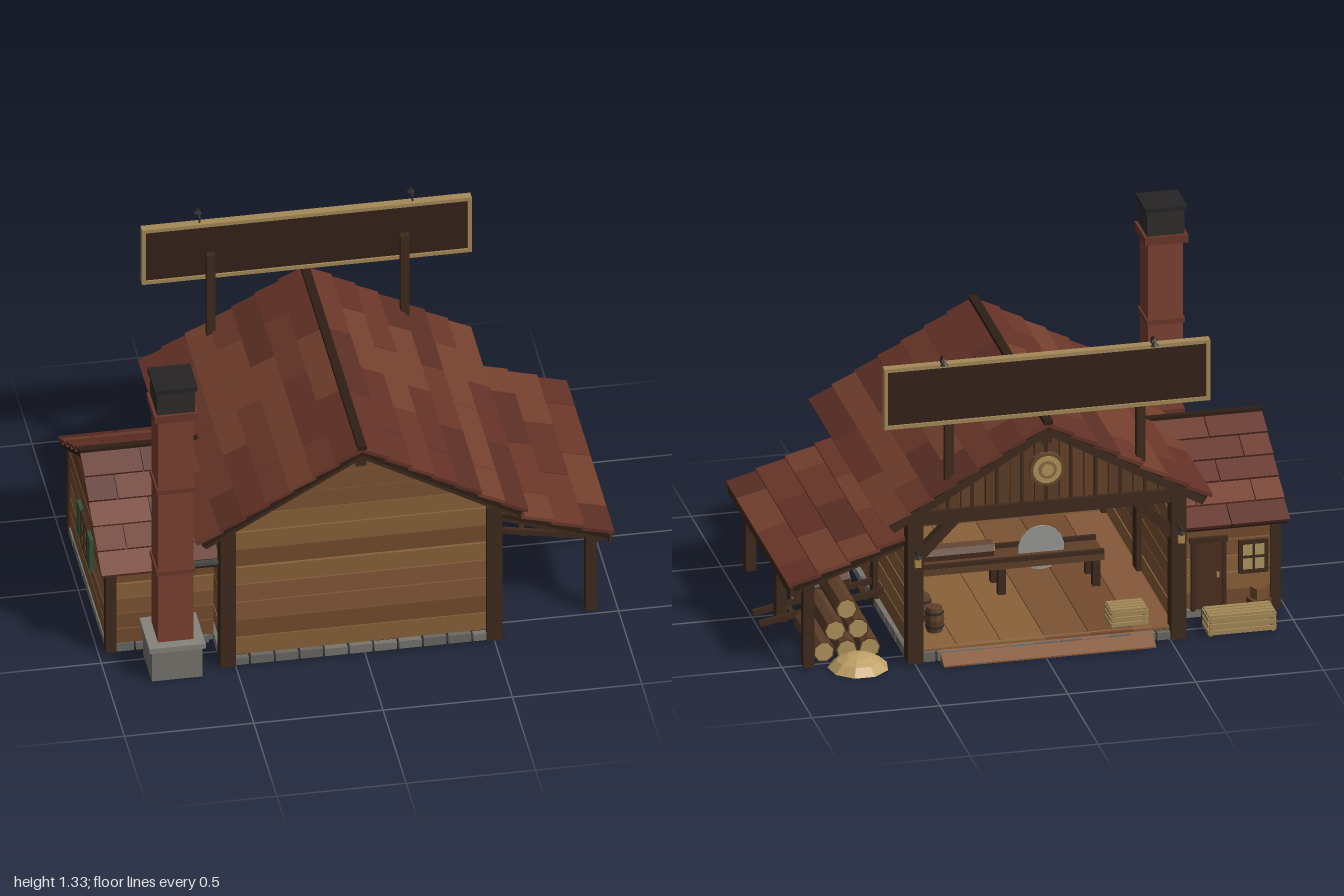
import * as THREE from 'three';

const WOOD = 0x3f2a1c, DARK = 0x2e1f16, TAN = 0xa58a58, BLACK = 0x302d2c, STONE = 0x77756e, BRICK = 0x7d4232;
const ROOF = [0x6b3729, 0x5c2f25, 0x75402e, 0x643227];
const PLANK = [0x7d5433, 0x85593a, 0x744c2e, 0x8a6239];
const CX = -0.015; // centre line of the main hall

const cache = {};
const mat = (color) => (cache[color] ??= new THREE.MeshStandardMaterial({ color, flatShading: true }));
let seed = 7;
const rnd = () => (seed = (seed * 16807) % 2147483647) / 2147483647;
const pick = (list) => list[Math.floor(rnd() * list.length)];

function add(parent, name, geo, color, x = 0, y = 0, z = 0) {
  const m = new THREE.Mesh(geo, mat(color));
  m.name = name;
  m.position.set(x, y, z);
  parent.add(m);
  return m;
}
const box = (p, name, c, w, h, d, x, y, z) => add(p, name, new THREE.BoxGeometry(w, h, d), c, x, y, z);
// box given by its limits
const span = (p, name, c, x0, x1, y0, y1, z0, z1) =>
  box(p, name, c, x1 - x0, y1 - y0, z1 - z0, (x0 + x1) / 2, (y0 + y1) / 2, (z0 + z1) / 2);
const cyl = (p, name, c, r0, r1, h, n, x, y, z) => add(p, name, new THREE.CylinderGeometry(r0, r1, h, n), c, x, y, z);
function group(parent, name, x = 0, y = 0, z = 0) {
  const g = new THREE.Group();
  g.name = name;
  g.position.set(x, y, z);
  parent.add(g);
  return g;
}
// square beam between two points
function beam(p, name, c, a, b, t, u = t) {
  const A = new THREE.Vector3(...a), B = new THREE.Vector3(...b);
  const m = box(p, name, c, t, u, A.distanceTo(B), 0, 0, 0);
  m.position.copy(A).add(B).multiplyScalar(0.5);
  m.lookAt(B);
  return m;
}

// roof slope falling along local +x from the ridge, with overlapping shingles
function slope(parent, name, run, drop, width, rows, tile) {
  const g = group(parent, name), len = Math.hypot(run, drop), step = len / rows;
  g.rotation.z = -Math.atan2(drop, run);
  span(g, 'roofBoards', DARK, 0, len - 0.01, -0.018, 0.002, -width / 2 + 0.008, width / 2 - 0.008);
  for (let r = 0; r < rows; r++) {
    for (let z = -width / 2 - (r % 2 ? tile / 2 : 0); z < width / 2 - 0.01; z += tile) {
      const a = Math.max(z, -width / 2), b = Math.min(z + tile, width / 2);
      const s = box(g, 'shingle', pick(ROOF), step * 1.08, 0.014, b - a - 0.004, (r + 0.5) * step, 0.01, (a + b) / 2);
      s.rotation.z = 0.09;
    }
  }
  return g;
}

// horizontal planks with narrow gaps, running along local x
function plankWall(parent, name, width, y0, y1, rows) {
  const g = group(parent, name), h = (y1 - y0) / rows;
  for (let i = 0; i < rows; i++)
    box(g, 'plank', pick(PLANK), width, h - 0.004 - rnd() * 0.003, 0.018 + rnd() * 0.006, 0, y0 + (i + 0.5) * h, 0);
  return g;
}

// triangular gable cut into boards, flat or upright
function gable(parent, name, half, h, n, upright, colors) {
  const g = group(parent, name);
  for (let i = 0; i < n; i++) {
    let pts;
    if (upright) {
      const a = -half + (i * 2 * half) / n, b = a + (2 * half) / n - 0.006;
      const top = (x) => Math.max(0, h * (1 - Math.abs(x) / half));
      pts = [[a, 0], [b, 0], [b, top(b)]];
      if (a < 0 && b > 0) pts.push([0, h]);
      pts.push([a, top(a)]);
    } else {
      const a = (i * h) / n, b = a + h / n - 0.002, w = (y) => half * (1 - y / h);
      pts = [[-w(a), a], [w(a), a], [w(b), b], [-w(b), b]];
    }
    const s = new THREE.Shape(pts.map((q) => new THREE.Vector2(...q)));
    add(g, 'gableBoard', new THREE.ExtrudeGeometry(s, { depth: 0.02, bevelEnabled: false }), pick(colors), 0, 0, -0.01);
  }
  return g;
}

// dark slab edged with stone blocks
function foundation(parent, x0, x1, z0, z1) {
  const g = group(parent, 'foundation');
  span(g, 'slab', BLACK, x0 + 0.01, x1 - 0.01, 0, 0.042, z0 + 0.01, z1 - 0.01);
  const row = (a, b, put) => {
    const n = Math.round((b - a) / 0.1), s = (b - a) / n;
    for (let i = 0; i < n; i++) put(a + (i + 0.5) * s, s - 0.008, 0.03 + rnd() * 0.008);
  };
  for (const z of [z0, z1]) row(x0, x1, (c, w, h) => box(g, 'stone', pick([STONE, 0x696863]), w, h, 0.03, c, h / 2 + 0.004, z));
  for (const x of [x0, x1]) row(z0, z1, (c, w, h) => box(g, 'stone', pick([STONE, 0x696863]), 0.03, h, w, x, h / 2 + 0.004, c));
}

// window facing local +z
function windowFrame(parent, w, h, shutters) {
  const g = group(parent, 'window');
  box(g, 'glass', 0xb09a63, w, h, 0.01, 0, 0, 0);
  for (const s of [-1, 0, 1]) {
    const t = s ? 0.014 : 0.008;
    box(g, 'frameBar', WOOD, t, h + 0.014, 0.022, (s * w) / 2, 0, 0.002);
    box(g, 'frameBar', WOOD, w + 0.014, t, 0.022, 0, (s * h) / 2, 0.002);
    if (s && shutters) box(g, 'shutter', 0x35523c, 0.065, h + 0.02, 0.015, s * (w / 2 + 0.042), 0, 0.006);
  }
  return g;
}

function slatCrate(parent, name, w, h, d, x, y, z) {
  const g = group(parent, name, x, y, z);
  box(g, 'crateBottom', 0x8a7146, w, 0.01, d, 0, 0.012, 0);
  for (let i = 0; i < 3; i++) {
    const yy = h * (0.2 + i * 0.32);
    for (const s of [-1, 1]) {
      box(g, 'slat', TAN, w, h * 0.22, 0.008, 0, yy, (s * d) / 2);
      box(g, 'slat', TAN, 0.008, h * 0.22, d, (s * w) / 2, yy, 0);
    }
  }
  for (let i = 0; i < 4; i++) box(g, 'lidSlat', TAN, w, 0.008, d * 0.19, 0, h, d * (i / 4 - 0.375));
  for (const sx of [-1, 1]) for (const sz of [-1, 1]) box(g, 'cornerPost', 0x8a7146, 0.012, h, 0.012, sx * (w / 2 - 0.008), h / 2, sz * (d / 2 - 0.008));
}

function barrel(parent, x, y, z, r, h) {
  const g = group(parent, 'barrel', x, y, z);
  const pts = [[0, 0], [0.8, 0], [1, 0.5], [0.8, 1], [0, 1]].map(([a, b]) => new THREE.Vector2(a * r, b * h));
  add(g, 'staves', new THREE.LatheGeometry(pts, 10), 0x5f4029);
  for (const k of [0.22, 0.78]) cyl(g, 'hoop', BLACK, r * 0.95, r * 0.95, 0.01, 10, 0, h * k, 0);
}

// log lying along local z, with pale cut ends
function log(parent, r, len, x, y, z) {
  const g = group(parent, 'log', x, y, z);
  cyl(g, 'bark', 0x5b3d28, r, r, len, 8, 0, 0, 0).rotation.x = Math.PI / 2;
  cyl(g, 'cutEnds', 0xb3945e, r * 0.86, r * 0.86, len + 0.006, 8, 0, 0, 0).rotation.x = Math.PI / 2;
  return g;
}

function buildHall(root) {
  const g = group(root, 'mainHall');
  foundation(g, -0.54, 0.51, -0.57, 0.595);
  for (let i = 0; i < 6; i++) span(g, 'floorBoard', pick(PLANK), -0.53 + i * 0.172, -0.361 + i * 0.172, 0.04, 0.05, -0.57, 0.58);
  // entrance ramp
  const wedge = new THREE.Shape([[0.55, 0], [0.645, 0], [0.645, 0.006], [0.55, 0.052]].map((q) => new THREE.Vector2(...q)));
  const ramp = add(g, 'entranceRamp', new THREE.ExtrudeGeometry(wedge, { depth: 0.83, bevelEnabled: false }), PLANK[1], -0.43, 0, 0);
  ramp.rotation.y = Math.PI / 2;
  for (const s of [-1, 1]) {
    const x = CX + s * 0.515;
    for (const z of [0.587, 0.01, -0.565]) box(g, 'post', WOOD, 0.06, 0.61, 0.064, x, 0.31, z);
    const side = plankWall(g, 'sideWall', 1.13, 0.045, 0.57, 7);
    side.position.set(x, 0, 0.01);
    side.rotation.y = Math.PI / 2;
    box(g, 'wallPlate', WOOD, 0.05, 0.05, 1.2, x, 0.59, 0.01);
    // corner braces, lanterns
    beam(g, 'brace', WOOD, [x, 0.42, -0.565], [x - s * 0.16, 0.585, -0.565], 0.04);
    box(g, 'lanternArm', BLACK, 0.01, 0.01, 0.05, x, 0.475, -0.615);
    box(g, 'lantern', 0xb08a48, 0.024, 0.036, 0.024, x, 0.44, -0.632);
    cyl(g, 'lanternCap', BLACK, 0.004, 0.022, 0.014, 4, x, 0.464, -0.632);
    const roof = slope(group(g, 'roofSide', CX, 0.945, 0.008), 'roofSlope', 0.63, 0.36, 1.256, 7, 0.4187);
    if (s < 0) roof.parent.rotation.y = Math.PI;
    for (const z of [-0.605, 0.615]) beam(g, 'rakeTrim', WOOD, [CX, 0.925, z], [CX + s * 0.61, 0.575, z], 0.02, 0.03);
  }
  plankWall(g, 'frontWall', 1.0, 0.045, 0.61, 7).position.set(CX, 0, 0.59);
  gable(g, 'frontGable', 0.53, 0.31, 4, false, PLANK).position.set(CX, 0.612, 0.59);
  gable(g, 'backGable', 0.53, 0.31, 11, true, [0x5c3d27, 0x664329]).position.set(CX, 0.612, -0.565);
  for (let i = -4; i <= 4; i++) {
    const h = 0.31 * (1 - Math.abs(i) * 0.182);
    box(g, 'batten', WOOD, 0.012, h, 0.012, CX + i * 0.0964, 0.612 + h / 2 - 0.004, -0.578);
  }
  for (const z of [-0.565, 0.01]) box(g, 'tieBeam', WOOD, 1.06, 0.055, 0.055, CX, 0.6, z);
  box(g, 'ridgeBeam', WOOD, 0.04, 0.05, 1.2, CX, 0.89, 0.01);
  box(g, 'ridgeCap', DARK, 0.034, 0.016, 1.256, CX, 0.962, 0.008);
  // log slice ornament
  [[0.068, 0x6a4a2d], [0.056, 0xb3945e], [0.036, 0x8a6a40], [0.024, 0xb3945e]].forEach(([r, c], i) =>
    (cyl(g, 'logSlice', c, r, r, 0.02, 16, CX, 0.76, -0.587 - i * 0.003).rotation.x = Math.PI / 2));
  // saw bench and goods
  const b = group(g, 'sawBench', 0, 0, -0.05);
  box(b, 'benchTop', 0x5f4029, 0.8, 0.025, 0.16, 0.05, 0.17, 0);
  for (const x of [-0.32, 0.05, 0.42]) for (const z of [-0.06, 0.06]) box(b, 'benchLeg', WOOD, 0.03, 0.12, 0.03, x, 0.105, z);
  for (const z of [-0.07, 0.07]) box(b, 'benchRail', WOOD, 0.8, 0.02, 0.015, 0.05, 0.19, z);
  cyl(b, 'sawBlade', 0x9a9a98, 0.09, 0.09, 0.008, 18, -0.12, 0.2, 0).rotation.x = Math.PI / 2;
  log(b, 0.035, 0.3, 0.22, 0.217, 0).rotation.y = Math.PI / 2;
  barrel(g, 0.38, 0.05, -0.4, 0.038, 0.1);
  barrel(g, 0.4, 0.05, -0.28, 0.038, 0.1);
  slatCrate(g, 'hallCrate', 0.14, 0.07, 0.1, -0.35, 0.05, -0.49);
}

function buildSign(root) {
  const g = group(root, 'signBoard', CX, 1.11, -0.581);
  box(g, 'panel', 0x35231a, 1.26, 0.24, 0.02, 0, 0, 0);
  for (const s of [-1, 1]) {
    box(g, 'frameRail', TAN, 1.275, 0.015, 0.034, 0, s * 0.118, 0);
    box(g, 'frameStile', TAN, 0.015, 0.25, 0.034, s * 0.63, 0, 0);
    box(g, 'signPost', WOOD, 0.034, 0.37, 0.03, s * 0.375, -0.19, 0.031);
    const path = new THREE.CatmullRomCurve3([[0, 0.11, 0], [0, 0.15, -0.005], [0, 0.162, -0.035], [0, 0.15, -0.05]].map((q) => new THREE.Vector3(...q)));
    add(g, 'lampArm', new THREE.TubeGeometry(path, 8, 0.004, 5), BLACK, s * 0.412);
    cyl(g, 'lampShade', BLACK, 0.004, 0.016, 0.018, 8, s * 0.412, 0.145, -0.052);
  }
}

function buildAnnex(root) {
  const g = group(root, 'annex');
  foundation(g, -0.955, -0.57, -0.385, 0.425);
  const W = [0x70432c, 0x7a4c31, 0x684029];
  for (const z of [-0.39, 0.43]) {
    plankWall(g, 'annexWall', 0.4, 0.04, 0.385, 5).position.set(-0.755, 0, z);
    box(g, 'annexPost', WOOD, 0.042, 0.38, 0.042, -0.953, 0.2, z);
    box(g, 'annexPlate', WOOD, 0.42, 0.03, 0.03, -0.76, 0.375, z);
    const side = group(g, 'annexRoofSide', -0.77, 0.645, 0.02);
    side.rotation.y = z > 0 ? -Math.PI / 2 : Math.PI / 2;
    slope(side, 'annexSlope', 0.465, 0.262, 0.46, 5, 0.23);
  }
  const end = group(g, 'endWall', -0.955, 0, 0.02);
  end.rotation.y = -Math.PI / 2;
  plankWall(end, 'annexWall', 0.8, 0.04, 0.385, 5);
  gable(end, 'annexGable', 0.41, 0.235, 3, false, W).position.y = 0.387;
  windowFrame(end, 0.13, 0.13, true).position.set(0, 0.26, 0.016);
  box(g, 'annexRidgeCap', DARK, 0.46, 0.014, 0.026, -0.77, 0.66, 0.02);
  const w = windowFrame(g, 0.1, 0.12, false);
  w.position.set(-0.865, 0.24, -0.405);
  w.rotation.y = Math.PI;
  // door
  span(g, 'door', 0x4c3020, -0.745, -0.635, 0.04, 0.315, -0.412, -0.39);
  for (const x of [-0.75, -0.63]) box(g, 'doorJamb', WOOD, 0.016, 0.29, 0.034, x, 0.18, -0.4);
  box(g, 'doorHead', WOOD, 0.15, 0.02, 0.036, -0.69, 0.325, -0.4);
  box(g, 'doorHandle', TAN, 0.01, 0.02, 0.012, -0.725, 0.18, -0.415);
  slatCrate(g, 'longCrate', 0.26, 0.08, 0.105, -0.78, 0, -0.537);
  box(g, 'smallCrate', 0x5f4029, 0.08, 0.08, 0.06, -0.88, 0.04, -0.44).rotation.y = 0.2;
  box(g, 'smallCrate', 0x75502f, 0.05, 0.045, 0.045, -0.88, 0.102, -0.44).rotation.y = 0.4;
}

function buildChimney(root) {
  const g = group(root, 'chimney', -0.735, 0, 0.558);
  const block = (name, c, w, y0, y1) => box(g, name, c, w, y1 - y0, w, 0, (y0 + y1) / 2, 0);
  block('base', STONE, 0.195, 0, 0.145);
  block('baseLip', 0x85837b, 0.218, 0.135, 0.157);
  block('shaft', BRICK, 0.137, 0.15, 1.18);
  for (const y of [0.475, 0.85]) block('band', 0x6b3729, 0.15, y - 0.01, y + 0.01);
  block('collar', 0x6b3729, 0.17, 1.175, 1.208);
  block('cap', BLACK, 0.147, 1.2, 1.31);
  block('capLid', 0x262424, 0.165, 1.308, 1.325);
  cyl(g, 'fluePipe', BLACK, 0.016, 0.016, 0.16, 8, 0.13, 0.452, 0).rotation.z = Math.PI / 2;
}

function buildLeanTo(root) {
  const g = group(root, 'leanTo');
  slope(group(g, 'leanToRoof', 0.515, 0.503, -0.03), 'leanToSlope', 0.46, 0.163, 1.035, 4, 0.345);
  for (const z of [0.453, -0.053, -0.503]) {
    box(g, 'leanToPost', WOOD, 0.042, 0.35, 0.045, 0.9, 0.175, z);
    beam(g, 'rafter', WOOD, [0.52, 0.475, z], [0.96, 0.32, z], 0.03);
  }
  box(g, 'leanToBeam', WOOD, 0.04, 0.03, 1.0, 0.9, 0.33, -0.03);
  box(g, 'fascia', WOOD, 0.014, 0.036, 1.035, 0.972, 0.328, -0.03);
  // log chute
  for (const z of [-0.105, 0.005]) beam(g, 'chuteRail', WOOD, [0.5, 0.108, z], [0.995, 0.015, z], 0.018, 0.022);
  for (const x of [0.58, 0.72, 0.86]) box(g, 'chuteTie', WOOD, 0.02, 0.014, 0.13, x, 0.085 - (x - 0.58) * 0.188, -0.05);
  const l = log(g, 0.052, 0.225, 0.75, 0.146, -0.05);
  l.rotation.set(0, Math.PI / 2, 0);
  l.rotateX(0.19);
  // log stack
  const stack = group(g, 'logStack');
  for (let r = 0; r < 3; r++)
    for (let i = 0; i < 3 - r; i++) log(stack, 0.043, 0.29 + rnd() * 0.03, 0.745 + (i - (2 - r) / 2) * 0.09, 0.045 + r * 0.084, -0.335).rotation.z = rnd();
  // sawdust heap
  const heap = [[0, 0], [0.118, 0], [0.085, 0.03], [0.045, 0.048], [0, 0.055]].map((q) => new THREE.Vector2(...q));
  add(g, 'sawdustHeap', new THREE.LatheGeometry(heap, 9), 0xc0a067, 0.715, 0, -0.56);
}

export function createModel() {
  seed = 7;
  const root = new THREE.Group();
  root.name = 'sawmill';
  for (const build of [buildHall, buildSign, buildAnnex, buildChimney, buildLeanTo]) build(root);
  return root;
}
